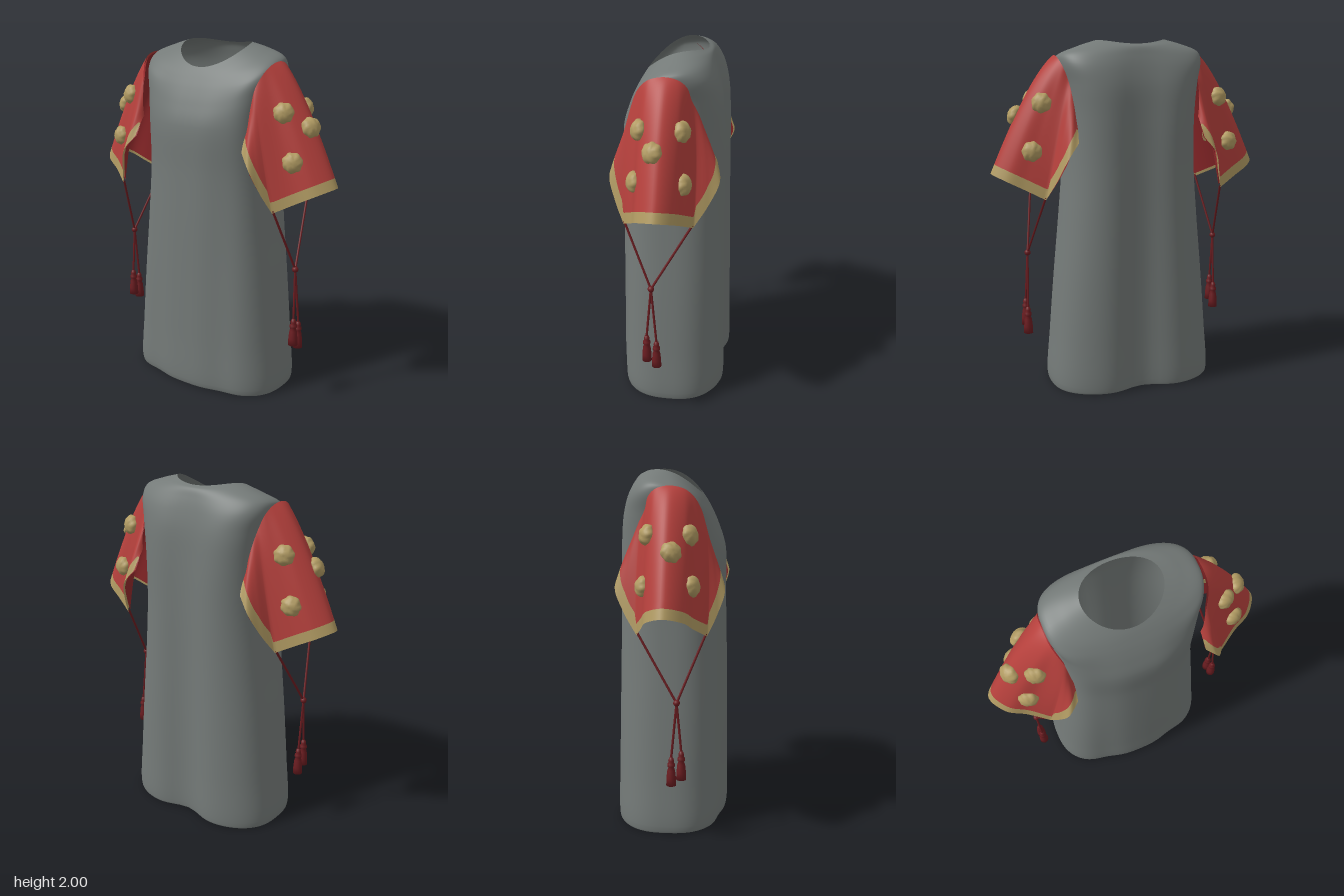
import * as THREE from 'three';
import { mergeVertices } from 'three/addons/utils/BufferGeometryUtils.js';

const V = (x, y, z) => new THREE.Vector3(x, y, z);
const mat = (name, color, side = THREE.FrontSide) => {
  const m = new THREE.MeshStandardMaterial({ color, side });
  m.name = name;
  return m;
};

// Smooth sheet from a rule fn(u, v) -> Vector3, u and v in 0..1
function sheet(fn, nu, nv) {
  const pos = [], idx = [];
  for (let i = 0; i <= nu; i++)
    for (let j = 0; j <= nv; j++) pos.push(...fn(i / nu, j / nv).toArray());
  for (let i = 0; i < nu; i++)
    for (let j = 0; j < nv; j++) {
      const a = i * (nv + 1) + j, b = a + nv + 1;
      idx.push(a, a + 1, b, b, a + 1, b + 1);
    }
  let g = new THREE.BufferGeometry();
  g.setAttribute('position', new THREE.Float32BufferAttribute(pos, 3));
  g.setIndex(idx);
  g = mergeVertices(g, 1e-5);
  g.computeVertexNormals();
  return g;
}

// Tunic rings: y side, y front, y back, half width, z front, z back, squareness, back dip
const RINGS = [
  [0.03, 0.03, 0.03, 0.475, 0.3, -0.315, 2.6, 0.06],
  [0.0, 0.01, 0.005, 0.483, 0.305, -0.328, 2.6, 0.065],
  [0.04, 0.04, 0.04, 0.489, 0.312, -0.333, 2.6, 0.065],
  [0.3, 0.3, 0.3, 0.468, 0.31, -0.33, 2.6, 0.06],
  [0.65, 0.65, 0.65, 0.437, 0.306, -0.325, 2.6, 0.055],
  [1.0, 1.0, 1.0, 0.402, 0.3, -0.32, 2.6, 0.05],
  [1.3, 1.3, 1.3, 0.376, 0.292, -0.315, 2.7, 0.045],
  [1.58, 1.56, 1.58, 0.37, 0.287, -0.305, 3, 0.04],
  [1.76, 1.68, 1.75, 0.39, 0.25, -0.287, 3.1, 0.03],
  [1.87, 1.76, 1.85, 0.418, 0.215, -0.26, 2.9, 0.02],
  [1.915, 1.81, 1.92, 0.412, 0.188, -0.23, 2.5, 0.01],
  [1.955, 1.845, 1.965, 0.315, 0.167, -0.2, 2.2, 0],
  [1.985, 1.87, 1.98, 0.215, 0.15, -0.175, 2, 0],
];

function ringPoint([ys, yf, yb, w, zf, zb, n, dip], a) {
  const c = Math.cos(a), s = Math.sin(a), zc = -0.01;
  const pow = (t) => Math.sign(t) * Math.abs(t) ** (2 / n);
  const x = w * pow(c);
  let z = zc + (s > 0 ? zf - zc : zc - zb) * pow(s);
  // Hollow along the spine, two shallow folds in front
  if (s < 0) z += dip * -s * Math.exp(-((x / 0.14) ** 2));
  else z -= dip * 0.3 * s * Math.exp(-(((Math.abs(x) - 0.24) / 0.1) ** 2));
  return V(x, ys + ((yf - yb) / 2) * s + ((yf + yb) / 2 - ys) * s * s, z);
}

function tunicGeometry() {
  const nu = 96, cols = [];
  for (let i = 0; i < nu; i++)
    cols.push(new THREE.CatmullRomCurve3(RINGS.map((r) => ringPoint(r, (i / nu) * Math.PI * 2))));
  return sheet((u, v) => cols[Math.round(u * nu) % nu].getPoint(v), nu, 72);
}

// Sleeve columns from the crown to the front edge: shoulder, bulge, hem, depth scale at the back
const COLS = [
  [V(0.425, 1.916, 0), V(0.56, 1.825, 0), V(0.8, 1.275, 0), 0.85],
  [V(0.422, 1.9, 0.08), V(0.54, 1.755, 0.1), V(0.74, 1.247, 0.1), 0.88],
  [V(0.408, 1.86, 0.13), V(0.485, 1.68, 0.15), V(0.64, 1.197, 0.145), 0.86],
  [V(0.385, 1.79, 0.17), V(0.44, 1.6, 0.23), V(0.53, 1.14, 0.21), 0.78],
  [V(0.375, 1.71, 0.19), V(0.425, 1.57, 0.25), V(0.485, 1.25, 0.262), 0.9],
  [V(0.368, 1.64, 0.2), V(0.395, 1.54, 0.26), V(0.435, 1.375, 0.3), 0.97],
  [V(0.36, 1.57, 0.2), V(0.362, 1.52, 0.245), V(0.37, 1.46, 0.27), 1],
];
const LAST = COLS.length - 1, CORNER = 3;

// Spline through one row of the columns from index a to b (negative indices lie at the back)
function rowCurve(row, a, b) {
  const pts = [];
  for (let k = a; k <= b; k++) {
    const col = COLS[Math.abs(k)], p = col[row].clone();
    if (k < 0) p.z *= -col[3];
    pts.push(p);
  }
  const curve = new THREE.CatmullRomCurve3(pts);
  return (k) => curve.getPoint(THREE.MathUtils.clamp((k - a) / (b - a), 0, 1));
}
const seamAt = rowCurve(0, -LAST, LAST), bulgeAt = rowCurve(1, -LAST, LAST);
const hemBack = rowCurve(2, -LAST, -CORNER), hemMid = rowCurve(2, -CORNER, CORNER), hemFront = rowCurve(2, CORNER, LAST);
// The hem keeps a sharp point at each corner
const hemAt = (k) => (k < -CORNER ? hemBack : k > CORNER ? hemFront : hemMid)(k);

const sleeveColumn = (k) => new THREE.QuadraticBezierCurve3(seamAt(k), bulgeAt(k), hemAt(k));

// Where the trim of even width starts on a column
function trimStart(k) {
  const c = sleeveColumn(k), down = c.v2.clone().sub(c.v1);
  const along = hemAt(Math.min(k + 0.05, LAST)).sub(hemAt(Math.max(k - 0.05, -LAST)));
  const slant = Math.max(0.5, Math.sin(down.angleTo(along)));
  return 1 - Math.min(0.6, 0.029 / down.length() / slant);
}

// Band of the sleeve between two rules for the start and end of each column
function sleeveBand(side, from, to, rows) {
  return sheet((u, v) => {
    const k = (1 - 2 * u) * side * LAST;
    const p = sleeveColumn(k).getPoint(THREE.MathUtils.lerp(from(k), to(k), v));
    p.x *= side;
    return p;
  }, 96, rows);
}

// Inner layer, set slightly inside the cloth
function liningGeometry(side) {
  const g = sleeveBand(side, () => 0, () => 0.98, 24);
  const p = g.attributes.position, n = g.attributes.normal;
  for (let i = 0; i < p.count; i++) {
    const q = V().fromBufferAttribute(p, i).addScaledVector(V().fromBufferAttribute(n, i), -0.01);
    p.setXYZ(i, q.x, q.y, q.z);
  }
  return g;
}

// Nearest sleeve point to a target, with its outward normal
function onSleeve(target) {
  let best = 9, hit;
  for (let k = -5; k <= 5; k += 0.1)
    for (let v = 0.1; v < 0.95; v += 0.02) {
      const p = sleeveColumn(k).getPoint(v), d = p.distanceTo(target);
      if (d < best) { best = d; hit = { p, k, v }; }
    }
  const { p, k, v } = hit;
  const du = sleeveColumn(k + 0.1).getPoint(v).sub(p);
  const dv = sleeveColumn(k).getPoint(v + 0.02).sub(p);
  const n = du.cross(dv).normalize();
  return { p, n: n.x < 0 ? n.negate() : n };
}

// Crumpled rosette with a flat back
function rosetteGeometry() {
  let g = new THREE.IcosahedronGeometry(0.055, 5);
  g.deleteAttribute('uv');
  g.deleteAttribute('normal');
  g = mergeVertices(g, 1e-5);
  const p = g.attributes.position;
  for (let i = 0; i < p.count; i++) {
    const q = V().fromBufferAttribute(p, i), a = Math.atan2(q.y, q.x);
    q.multiplyScalar(1 + 0.03 * Math.sin(a * 7 + q.z * 60) + 0.03 * Math.sin(q.x * 130 + q.y * 90));
    p.setXYZ(i, q.x, q.y, Math.max(q.z * 0.72, -0.011));
  }
  g.computeVertexNormals();
  return g;
}

const TASSEL = [[0, 0], [0.027, 0], [0.026, 0.04], [0.021, 0.085], [0.015, 0.1], [0.021, 0.108],
  [0.02, 0.122], [0.014, 0.128], [0.016, 0.14], [0.011, 0.155], [0, 0.162]].map((p) => new THREE.Vector2(...p));

export function createModel() {
  const root = new THREE.Group();
  root.name = 'tunic';
  const grey = mat('grey cloth', 0x747a78, THREE.DoubleSide);
  const red = mat('red cloth', 0xb5403c, THREE.DoubleSide);
  const lining = mat('dark red lining', 0x92292b, THREE.DoubleSide);
  const gold = mat('gold trim', 0xb09a62, THREE.DoubleSide);
  const cordRed = mat('dark red cord', 0x6a1c20);
  const add = (parent, name, geo, m, pos) => {
    const mesh = new THREE.Mesh(geo, m);
    mesh.name = name;
    if (pos) mesh.position.copy(pos);
    parent.add(mesh);
    return mesh;
  };

  add(root, 'tunicBody', tunicGeometry(), grey);

  const rosette = rosetteGeometry();
  const tassel = new THREE.LatheGeometry(TASSEL, 16);
  const spots = [V(0.525, 1.67, 0.11), V(0.525, 1.67, -0.11), V(0.62, 1.58, 0.02), V(0.59, 1.41, 0.105), V(0.59, 1.41, -0.11)]
    .map(onSleeve);

  for (const side of [1, -1]) {
    const g = new THREE.Group();
    g.name = side > 0 ? 'leftSleeve' : 'rightSleeve';
    root.add(g);
    add(g, 'sleeveCloth', sleeveBand(side, () => 0, trimStart, 24), red);
    add(g, 'sleeveTrim', sleeveBand(side, trimStart, () => 1, 4), gold);
    add(g, 'sleeveLining', liningGeometry(side), lining);

    for (const { p, n } of spots) {
      const out = V(n.x * side, n.y, n.z);
      const m = add(g, 'rosette', rosette, gold, V(p.x * side, p.y, p.z).addScaledVector(out, 0.003));
      m.quaternion.setFromUnitVectors(V(0, 0, 1), out);
    }

    // Cords gathered in a knot, then two hanging tassels
    const cord = (a, b) => add(g, 'cord', new THREE.TubeGeometry(new THREE.LineCurve3(a, b), 1, 0.0065, 8), cordRed);
    const knot = V(0.592 * side, 0.79, 0.055);
    cord(V(0.53 * side, 1.155, 0.205), knot);
    cord(V(0.53 * side, 1.155, -0.16), knot);
    add(g, 'knot', new THREE.SphereGeometry(0.018, 14, 10), cordRed, knot);
    for (const [z, y] of [[0.08, 0.345], [0.026, 0.31]]) {
      const foot = V((side > 0 ? 0.605 : 0.59) * side, y + (side < 0 ? 0.02 : 0), z);
      cord(knot, foot.clone().setY(foot.y + 0.155));
      add(g, 'tassel', tassel, cordRed, foot);
    }
  }
  return root;
}
